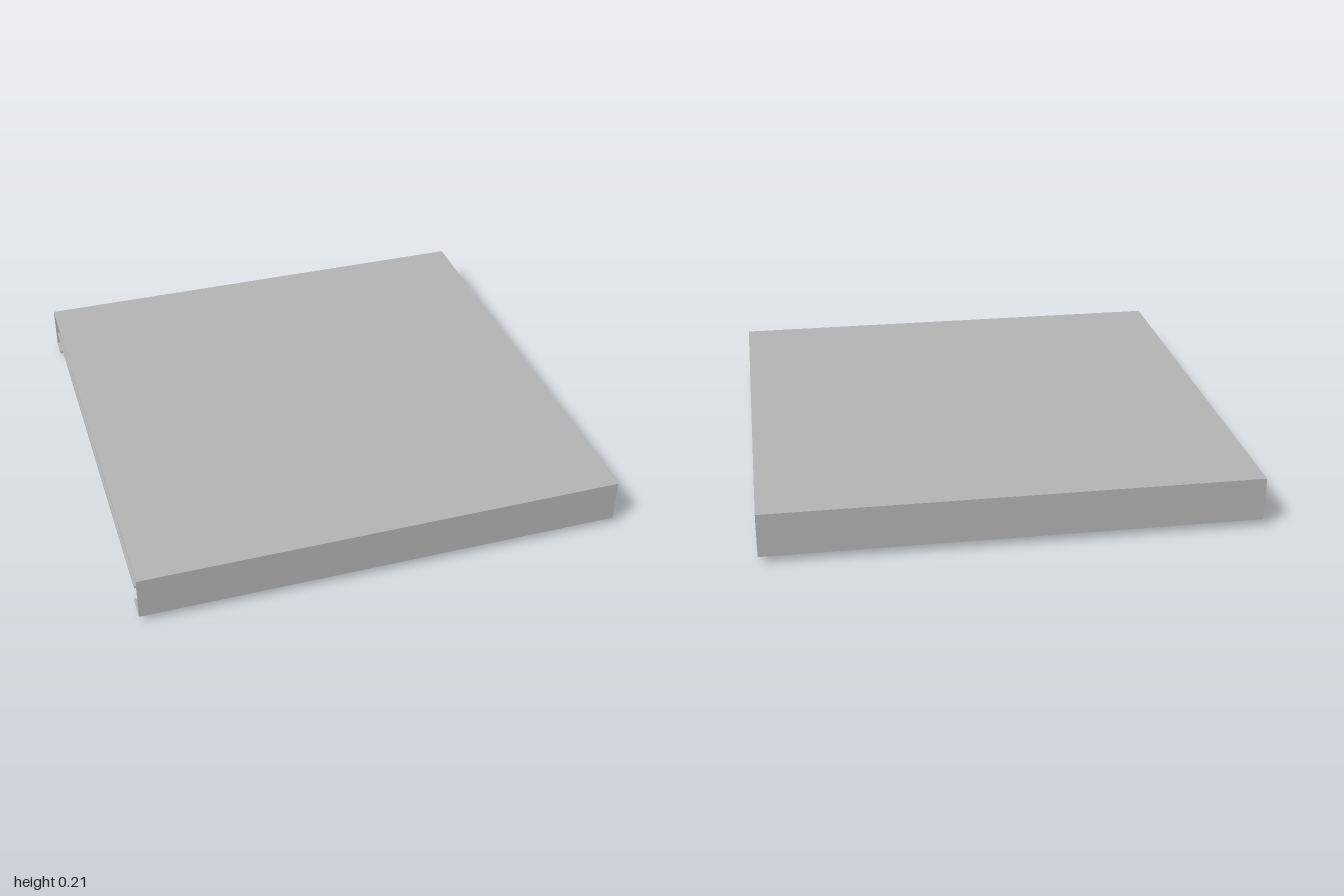
import * as THREE from 'three';

const steel = new THREE.MeshStandardMaterial({ color: 0xb2b2b2 });
steel.name = 'grey steel';

const T = 0.01;      // sheet thickness
const TOP = 0.21;    // top of the panel
const LIP = 0.03;    // underside of the folded lips

export function createModel() {
  const model = new THREE.Group();
  model.name = 'steelPanel';

  // Box given by its limits on each axis
  function sheet(name, x0, x1, y0, y1, z0, z1, parent = model) {
    const mesh = new THREE.Mesh(new THREE.BoxGeometry(x1 - x0, y1 - y0, z1 - z0), steel);
    mesh.position.set((x0 + x1) / 2, (y0 + y1) / 2, (z0 + z1) / 2);
    mesh.name = name;
    parent.add(mesh);
    return mesh;
  }

  // Top sheet
  sheet('topSheet', -1, 1, TOP - T, TOP, -0.995, 0.995);

  // Folded rims on three sides: wall and inward lip
  for (const s of [-1, 1]) {
    const side = s > 0 ? 'front' : 'back';
    const span = (a, b) => (s > 0 ? [a, b] : [-b, -a]);
    sheet(side + 'Wall', -1, 1, LIP, TOP - T, ...span(0.985, 0.995));
    sheet(side + 'Lip', -1, 1, LIP, LIP + T, ...span(0.9, 0.985));
  }
  sheet('leftWall', 0.99, 1, LIP, TOP - T, -0.985, 0.985);
  sheet('leftLip', 0.9, 0.99, LIP, LIP + T, -0.9, 0.9);

  // Shallow channel along the open side
  sheet('edgeChannelWeb', -0.965, -0.955, 0.12, TOP - T, -0.93, 0.93);
  sheet('edgeChannelLip', -1, -0.965, 0.12, 0.13, -0.93, 0.93);

  // Middle stiffener, a channel opening upwards
  sheet('stiffenerBase', -0.075, 0.01, 0.12, 0.13, -0.93, 0.93);
  sheet('stiffenerLeftWeb', 0, 0.01, 0.13, TOP - T, -0.93, 0.93);
  sheet('stiffenerRightWeb', -0.075, -0.065, 0.13, TOP - T, -0.93, 0.93);

  // Corner gussets: triangular plate, upright fold and tab under the sheet
  for (const s of [-1, 1]) {
    const shape = new THREE.Shape([
      new THREE.Vector2(0.9, 0.62 * s),
      new THREE.Vector2(0.59, 0.9 * s),
      new THREE.Vector2(0.9, 0.9 * s),
    ]);
    const plate = new THREE.Mesh(
      new THREE.ExtrudeGeometry(shape, { depth: T, bevelEnabled: false }), steel);
    plate.rotation.x = Math.PI / 2;
    plate.position.y = LIP + T;
    plate.name = 'gussetPlate';
    model.add(plate);

    const fold = new THREE.Group();
    fold.name = 'gussetFold';
    fold.position.set(0.745, 0, 0.76 * s);
    fold.rotation.y = Math.atan2(-0.28 * s, -0.31);
    sheet('gussetWeb', -0.2, 0.2, LIP, TOP - T, -0.005, 0.005, fold);
    const tab = sheet('gussetTab', -0.13, 0.13, TOP - 2 * T, TOP - T, -0.06, 0.06, fold);
    tab.position.z = 0.06 * s;
    model.add(fold);
  }

  // Latches under the left corners: tall fin and a low square loop
  for (const z of [-0.845, 0.815]) {
    const latch = new THREE.Group();
    latch.name = 'cornerLatch';
    latch.position.z = z;
    sheet('latchFin', 0.89, 0.905, 0, LIP, 0, 0.125, latch);
    sheet('latchArm', 0.86, 0.89, 0.015, LIP, 0, 0.015, latch);
    sheet('loopOuterBar', 0.865, 0.88, 0.015, LIP, -0.045, 0.055, latch);
    sheet('loopInnerBar', 0.78, 0.795, 0.015, LIP, -0.045, 0.055, latch);
    sheet('loopBackBar', 0.795, 0.865, 0.015, LIP, -0.045, -0.03, latch);
    sheet('loopFrontBar', 0.795, 0.865, 0.015, LIP, 0.04, 0.055, latch);
    model.add(latch);
  }

  return model;
}
